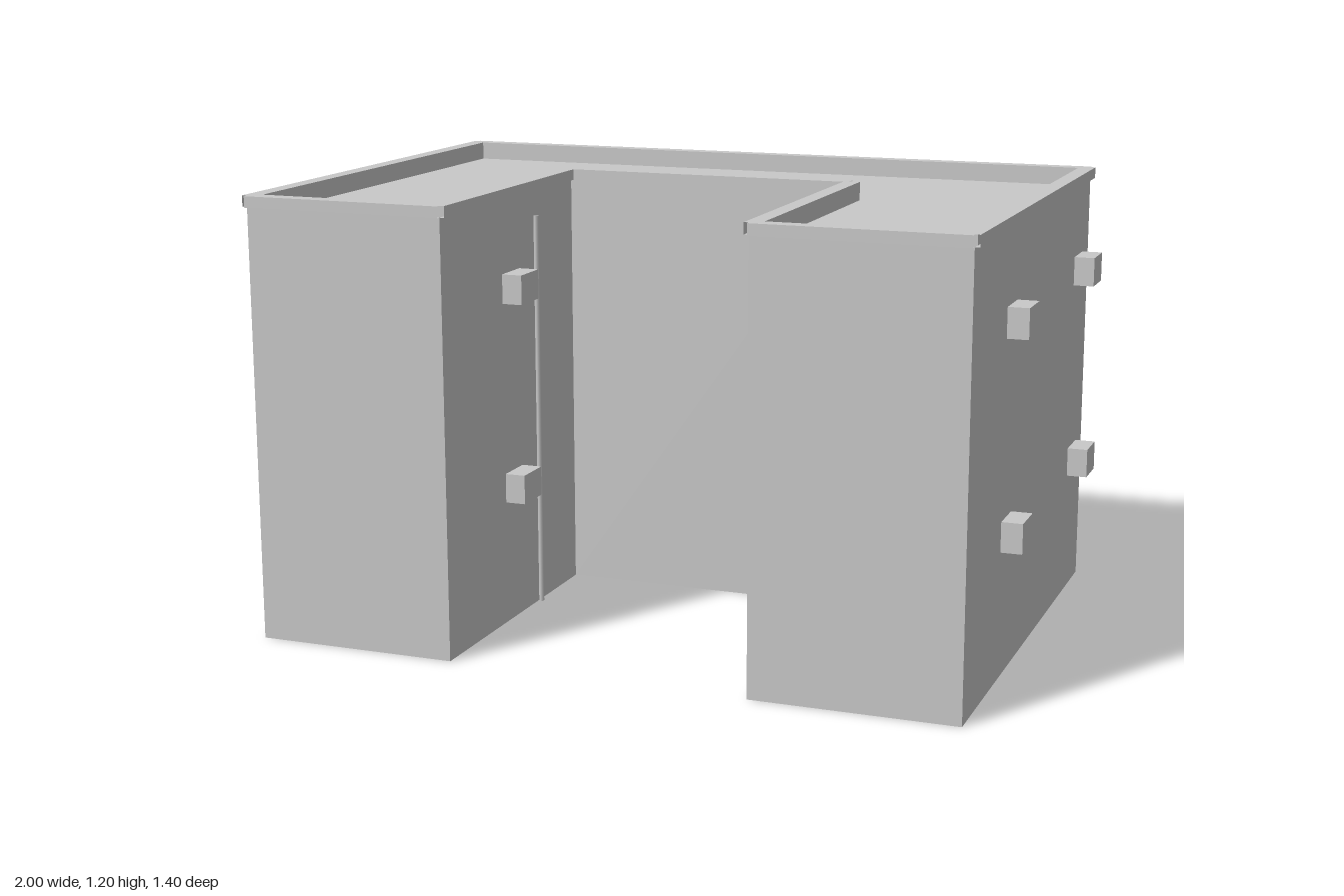
import * as THREE from 'three';

const concrete = new THREE.MeshStandardMaterial({ color: 0xc8c8c8, side: THREE.DoubleSide });
concrete.name = 'grey concrete';

// Wall planes of the U-shaped plan
const LEFT = -0.985, RIGHT = 0.943, DEPTH = 0.687;
const COURT_L = -0.43, COURT_R = 0.392, COURT_BACK = -0.138;
const PIPE_TOP = 1.1, ROOF = 1.15, EAVE = 1.17, TOP = 1.2;

const plan = [
  [RIGHT, -DEPTH], [RIGHT, DEPTH], [COURT_R, DEPTH], [COURT_R, COURT_BACK],
  [COURT_L, COURT_BACK], [COURT_L, DEPTH], [LEFT, DEPTH], [LEFT, -DEPTH],
];

// Sections of one side: x points out of the wall
const wallSection = [[0, EAVE], [0, 0]];
const parapetSection = [[-0.03, ROOF], [-0.03, TOP], [0.0135, TOP], [0.0135, EAVE], [0, EAVE]];

// Sweeps an open section along z, without end caps
function sweep(section, length) {
  const positions = [];
  for (let i = 0; i < section.length - 1; i++) {
    const p = section[i], q = section[i + 1];
    positions.push(...p, 0, ...p, length, ...q, length, ...p, 0, ...q, length, ...q, 0);
  }
  const geometry = new THREE.BufferGeometry();
  geometry.setAttribute('position', new THREE.Float32BufferAttribute(positions, 3));
  geometry.computeVertexNormals();
  return geometry;
}

function addMesh(parent, name, geometry, x = 0, y = 0, z = 0) {
  const mesh = new THREE.Mesh(geometry, concrete);
  mesh.name = name;
  mesh.position.set(x, y, z);
  parent.add(mesh);
}

export function createModel() {
  const model = new THREE.Group();
  model.name = 'courtyardBuilding';

  // One wall and one overhanging parapet for each side of the plan, open underneath
  plan.forEach(([x, z], i) => {
    const [x2, z2] = plan[(i + 1) % plan.length];
    const dx = x2 - x, dz = z2 - z, length = Math.hypot(dx, dz);
    const side = new THREE.Group();
    side.name = 'side' + (i + 1);
    side.position.set(x, 0, z);
    side.rotation.y = Math.atan2(dx, dz);
    addMesh(side, 'wall', sweep(wallSection, length));
    addMesh(side, 'parapet', sweep(parapetSection, length));
    model.add(side);
  });

  // Flat sunken roof
  const roofShape = new THREE.Shape(plan.map(([x, z]) => new THREE.Vector2(x, -z)));
  addMesh(model, 'roof', new THREE.ShapeGeometry(roofShape).rotateX(-Math.PI / 2), 0, ROOF, 0);

  // Wall-mounted cooling units, two storeys high
  const unit = new THREE.BoxGeometry(0.056, 0.08, 0.109);
  for (const y of [0.38, 0.93]) {
    for (const [x, z] of [[RIGHT, 0.276], [RIGHT, -0.549], [COURT_L, 0.276]]) {
      addMesh(model, 'coolingUnit', unit, x + 0.029, y, z);
    }
  }

  // Drainpipes
  const r = 0.0075;
  const pipe = new THREE.CylinderGeometry(r, r, PIPE_TOP, 8);
  for (const [x, z] of [[LEFT - r, 0.43], [COURT_L + r, 0.122], [COURT_R - r, 0.142]]) {
    addMesh(model, 'drainpipe', pipe, x, PIPE_TOP / 2, z);
  }

  return model;
}
